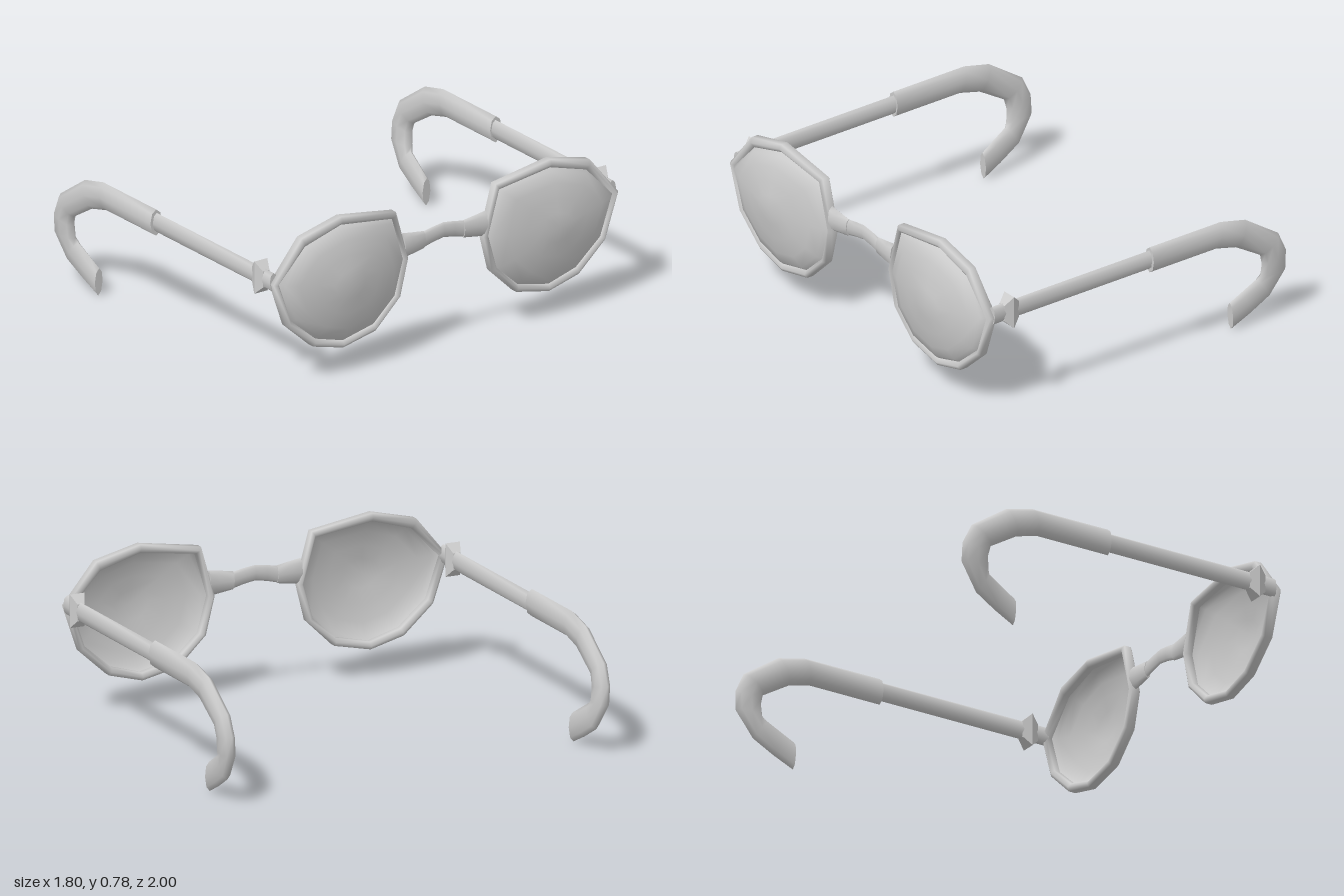
import * as THREE from 'three';

const V = (x, y, z) => new THREE.Vector3(x, y, z);
const grey = new THREE.MeshStandardMaterial({ color: 0xcccccc });
const greyFlat = new THREE.MeshStandardMaterial({ color: 0xcccccc, flatShading: true });
const greyDouble = new THREE.MeshStandardMaterial({ color: 0xcccccc, side: THREE.DoubleSide });

// Elliptical cross-section spanned by half-axes u and v
function ring(c, u, v, n = 8, phase = 0) {
  return Array.from({ length: n }, (_, i) => {
    const a = phase + (i / n) * Math.PI * 2;
    return c.clone().addScaledVector(u, Math.cos(a)).addScaledVector(v, Math.sin(a));
  });
}

// Skin a list of cross-sections; capped at the ends unless it loops. Faces are turned outward.
function loft(rings, loop = false) {
  const n = rings[0].length, m = rings.length;
  const pts = rings.flat(), idx = [];
  for (let r = 0; r < (loop ? m : m - 1); r++) {
    for (let i = 0; i < n; i++) {
      const a = r * n + i, b = r * n + (i + 1) % n;
      const c = ((r + 1) % m) * n + i, d = ((r + 1) % m) * n + (i + 1) % n;
      idx.push(a, b, c, b, d, c);
    }
  }
  if (!loop) {
    for (const [end, flip] of [[rings[0], true], [rings[m - 1], false]]) {
      const s = pts.length;
      pts.push(...end);
      for (let i = 1; i < n - 1; i++) idx.push(s, s + (flip ? i + 1 : i), s + (flip ? i : i + 1));
    }
  }
  let volume = 0;
  for (let i = 0; i < idx.length; i += 3) {
    volume += pts[idx[i]].dot(pts[idx[i + 1]].clone().cross(pts[idx[i + 2]]));
  }
  if (volume < 0) idx.reverse();
  const g = new THREE.BufferGeometry().setFromPoints(pts);
  g.setIndex(idx);
  g.computeVertexNormals();
  return g;
}

function part(name, geometry, material = grey) {
  const mesh = new THREE.Mesh(geometry, material);
  mesh.name = name;
  return mesh;
}

// Rim outlines as [z, y], outer and inner
const OUTER = [[.595, .78], [.284, .73], [.215, .485], [.26, .305], [.4, .17],
  [.585, .13], [.755, .175], [.905, .31], [.98, .53], [.82, .725]];
const INNER = [[.595, .74], [.305, .7], [.242, .485], [.29, .315], [.41, .205],
  [.585, .165], [.74, .21], [.88, .33], [.948, .525], [.8, .68]];
// Rim section as [outer-to-inner fraction, x]
const RIM = [[0, .787], [0, .823], [.5, .836], [1, .82], [1, .79], [.5, .776]];
// Lens dome as [scale, x]
const DOME = [[1.02, .812], [.94, .84], [.76, .863], [.5, .879], [.25, .892]];

// Ear hook stations: outer edge x, y, inner edge x, y, centre z, half width
const HOOK = [
  [-.11, .6, -.11, .47, .966, .033], [-.52, .6, -.495, .47, .966, .033],
  [-.663, .566, -.61, .44, .966, .033], [-.855, .436, -.75, .355, .965, .033],
  [-.902, .335, -.762, .305, .962, .032], [-.904, .243, -.757, .24, .957, .031],
  [-.817, .113, -.745, .222, .945, .028], [-.71, .052, -.665, .177, .938, .025],
  [-.607, .003, -.6, .14, .932, .022]];

function rimGeometry(s) {
  return loft(OUTER.map(([z, y], i) => RIM.map(([t, x]) =>
    V(x, y + (INNER[i][1] - y) * t, s * (z + (INNER[i][0] - z) * t)))), true);
}

// Domed lens: shrinking copies of the inner outline closing on a centre point
function lensGeometry(s) {
  const cz = .59, cy = .47, n = INNER.length, pts = [], idx = [];
  for (const [k, x] of DOME) {
    for (const [z, y] of INNER) pts.push(V(x, cy + (y - cy) * k, s * (cz + (z - cz) * k)));
  }
  pts.push(V(.9, cy, s * cz));
  const tri = (a, b, c) => (s > 0 ? idx.push(a, b, c) : idx.push(a, c, b));
  for (let r = 0; r < DOME.length; r++) {
    for (let i = 0; i < n; i++) {
      const a = r * n + i, b = r * n + (i + 1) % n;
      if (r === DOME.length - 1) tri(a, b, pts.length - 1);
      else { tri(a, b, a + n); tri(b, b + n, a + n); }
    }
  }
  const g = new THREE.BufferGeometry().setFromPoints(pts);
  g.setIndex(idx);
  g.computeVertexNormals();
  return g;
}

function hookGeometry(s) {
  return loft(HOOK.map(([ox, oy, ix, iy, z, w]) => ring(
    V((ox + ix) / 2, (oy + iy) / 2, s * z),
    V((ox - ix) / 2, (oy - iy) / 2, 0), V(0, 0, w))));
}

// Bridge sections as [z, y, half height, half depth, x]
const across = (list) => loft(list.map(([z, y, h, d, x]) => ring(V(x, y, z), V(0, h, 0), V(d, 0, 0))));

export function createModel() {
  const model = new THREE.Group();
  model.name = 'spectacles';

  for (const [side, s] of [['left', 1], ['right', -1]]) {
    const half = new THREE.Group();
    half.name = side + 'Half';

    // Front: rim, lens and the tapered piece that meets the bridge
    half.add(part(side + 'Rim', rimGeometry(s)));
    half.add(part(side + 'Lens', lensGeometry(s), greyDouble));
    half.add(part(side + 'BridgeEnd', across([
      [s * .235, .545, .062, .025, .806], [s * .19, .545, .055, .023, .806], [s * .112, .545, .043, .018, .803]])));

    // Side arm: thin rod, box-section hinge, curved ear hook
    half.add(part(side + 'Arm', loft([.8, -.13].map((x) =>
      ring(V(x, .535, s * .963), V(0, .047, 0), V(0, 0, .022))))));
    half.add(part(side + 'Hinge', loft([[.658, .5], [.7, 1], [.742, .5]].map(([x, k]) =>
      ring(V(x, .535, s * .963), V(0, .08 * k * Math.SQRT2, 0), V(0, 0, .037 * k * Math.SQRT2), 4, Math.PI / 4))), greyFlat));
    half.add(part(side + 'EarHook', hookGeometry(s)));
    model.add(half);
  }

  // Arched bridge
  model.add(part('bridge', across([
    [-.125, .543, .04, .014, .802], [-.06, .558, .038, .014, .802], [0, .567, .037, .014, .802],
    [.06, .558, .038, .014, .802], [.125, .543, .04, .014, .802]])));

  return model;
}
